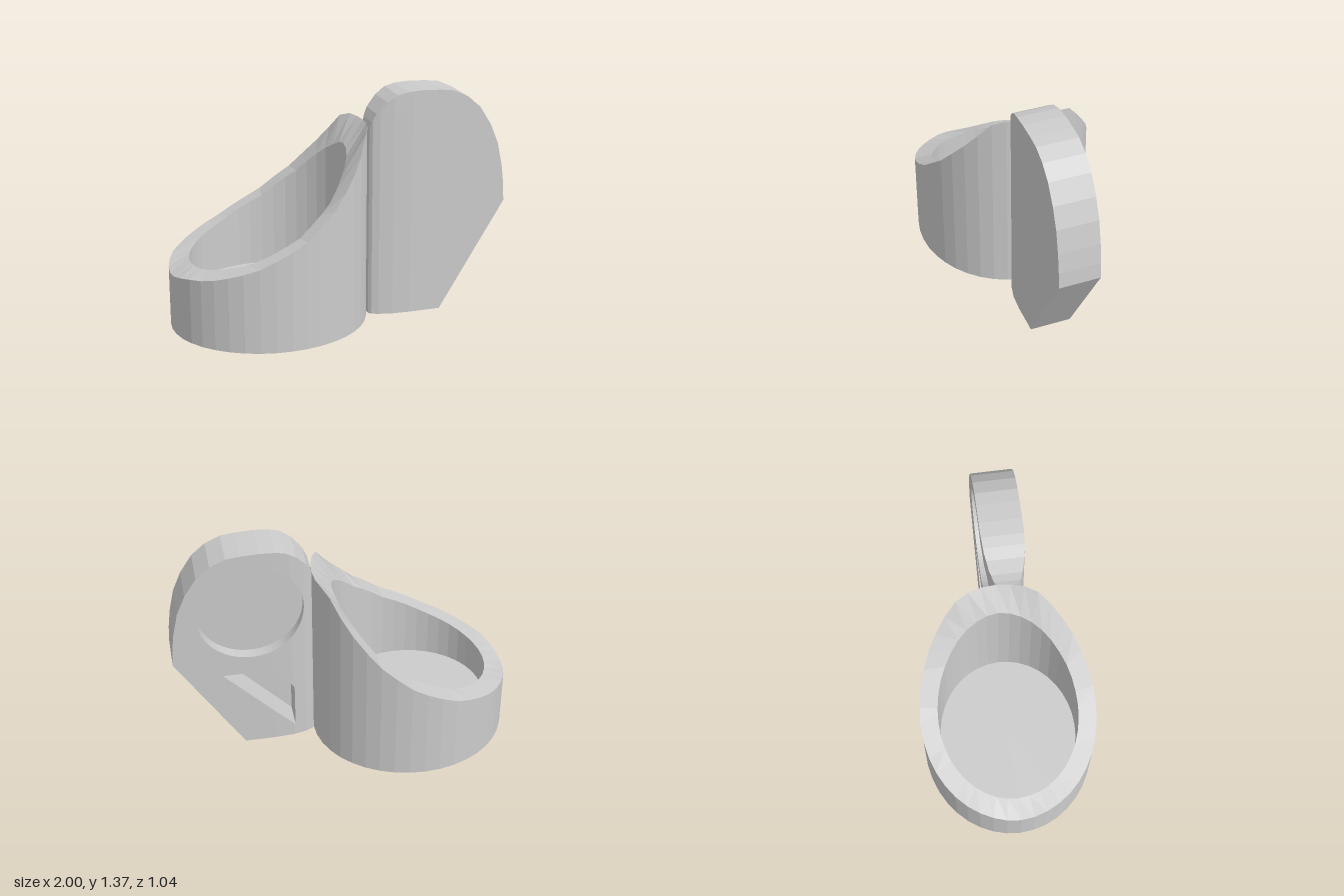
import * as THREE from 'three';

const material = new THREE.MeshStandardMaterial({ color: 0xcccccc, flatShading: true });

// Piecewise linear interpolation through [x, value] pairs
function lerpTable(table, x) {
  if (x <= table[0][0]) return table[0][1];
  for (let i = 1; i < table.length; i++) {
    const [x0, v0] = table[i - 1], [x1, v1] = table[i];
    if (x <= x1) return v0 + (v1 - v0) * (x - x0) / (x1 - x0);
  }
  return table[table.length - 1][1];
}

const mesh = (name, geometry) => {
  const m = new THREE.Mesh(geometry, material);
  m.name = name;
  return m;
};

// Cup: oval lathe whose rim sweeps up toward the fin
function cup() {
  const rim = [[-1, 0.35], [-0.98, 0.37], [-0.94, 0.39], [-0.86, 0.41], [-0.6, 0.5],
    [-0.34, 0.63], [-0.13, 0.8], [0.03, 1.0], [0.12, 1.17], [0.17, 1.17]];
  const inner = 0.795, floor = 0.19;
  const profile = [[0, 0], [1, 0], [1, 1], [inner, 1], [inner, floor], [0, floor]]
    .map(([r, y]) => new THREE.Vector2(r, y));
  const geo = new THREE.LatheGeometry(profile, 40);
  const p = geo.attributes.position;
  for (let i = 0; i < p.count; i++) {
    const x = -0.415 + 0.585 * p.getX(i);
    const y = p.getY(i) === 1 ? lerpTable(rim, x) : p.getY(i);
    p.setXYZ(i, x, y, 0.52 * p.getZ(i));
  }
  geo.computeVertexNormals();
  return mesh('cup', geo);
}

// Keep the part of a convex polygon where side * (x - cut) >= 0
function clip(poly, cut, side) {
  const out = [];
  poly.forEach((a, i) => {
    const b = poly[(i + 1) % poly.length];
    const da = side * (a.x - cut), db = side * (b.x - cut);
    if (da >= 0) out.push(a);
    if (da * db < 0) out.push(a.clone().lerp(b, da / (da - db)));
  });
  return out;
}

// Split triangles at the taper stations, then squeeze z to the tapered thickness
const backFace = [[0.165, 0.01], [0.18, -0.01], [0.22, -0.03], [0.3, -0.048], [0.41, -0.055]];
const frontFace = [[0.165, 0.13], [0.18, 0.148], [0.22, 0.165], [0.3, 0.183], [0.41, 0.19]];
function taper(source) {
  const geo = source.index ? source.toNonIndexed() : source;
  const p = geo.attributes.position;
  const cuts = [0, ...backFace.slice(1).map(s => s[0]), 2];
  const out = [];
  for (let i = 0; i < p.count; i += 3) {
    const tri = [0, 1, 2].map(k => new THREE.Vector3().fromBufferAttribute(p, i + k));
    for (let c = 1; c < cuts.length; c++) {
      const piece = clip(clip(tri, cuts[c - 1], 1), cuts[c], -1);
      for (let k = 2; k < piece.length; k++) {
        for (const v of [piece[0], piece[k - 1], piece[k]]) {
          const z = THREE.MathUtils.clamp(v.z, lerpTable(backFace, v.x), lerpTable(frontFace, v.x));
          out.push(v.x, v.y, z);
        }
      }
    }
  }
  const result = new THREE.BufferGeometry();
  result.setAttribute('position', new THREE.Float32BufferAttribute(out, 3));
  result.computeVertexNormals();
  return result;
}

// Fin: three layers, so the two rear pockets have different depths
function fin() {
  const outline = [[0.6, 0], [1, 0.65], [0.995, 0.75], [0.98, 0.87], [0.95, 1.01], [0.9, 1.13],
    [0.83, 1.24], [0.75, 1.31], [0.66, 1.352], [0.58, 1.362], [0.47, 1.367], [0.38, 1.362],
    [0.32, 1.347], [0.26, 1.307], [0.2, 1.24], [0.175, 1.19], [0.165, 1.15], [0.165, 0]];
  const toPath = (Type, pts) => new Type(pts.map(([x, y]) => new THREE.Vector2(x, y)));
  const roundPocket = new THREE.Path().absarc(0.535, 0.962, 0.313, 0, Math.PI * 2, true);
  const cornerPocket = toPath(THREE.Path, [[0.715, 0.53], [0.29, 0.08], [0.29, 0.37], [0.387, 0.525]]);

  const group = new THREE.Group();
  group.name = 'fin';
  const layers = [
    ['finBack', -0.055, 0.015, [roundPocket, cornerPocket]],
    ['finCore', 0.015, 0.115, [cornerPocket]],
    ['finFront', 0.115, 0.19, []],
  ];
  for (const [name, z0, z1, holes] of layers) {
    const shape = toPath(THREE.Shape, outline);
    shape.holes.push(...holes);
    const geo = new THREE.ExtrudeGeometry(shape, { depth: z1 - z0, bevelEnabled: false, curveSegments: 40 });
    group.add(mesh(name, taper(geo.translate(0, 0, z0))));
  }
  return group;
}

export function createModel() {
  const model = new THREE.Group();
  model.name = 'cupWithFin';
  model.add(cup(), fin());
  return model;
}
